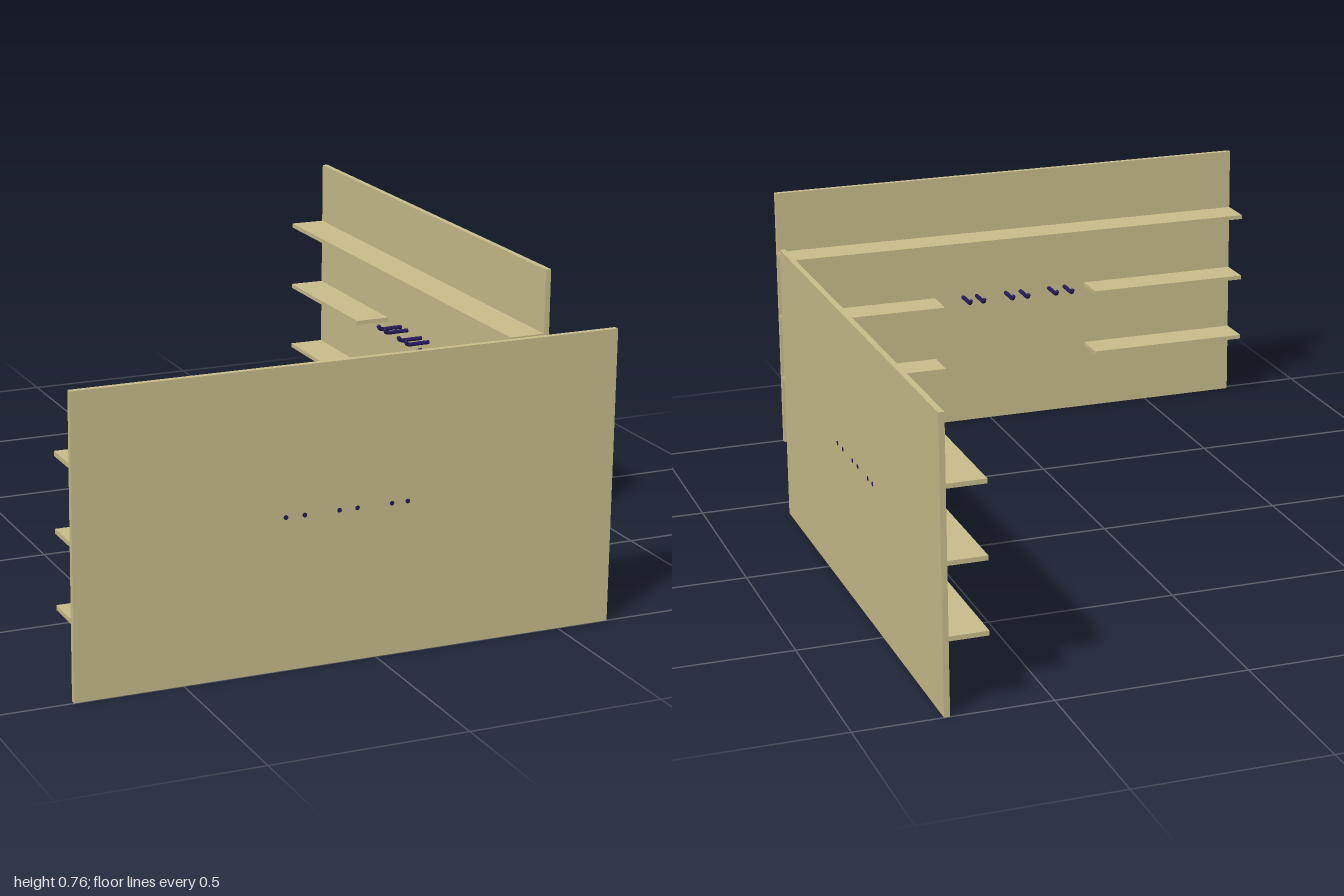
import * as THREE from 'three';

const W = 1.415, H = 0.757, T = 0.015;      // wall panel width, height, thickness
const DEPTH = 0.115, SHELF = 0.012;         // shelf depth (through the panel) and thickness
const GAP = 0.235;                          // half width of the opening between split shelves
const LEVELS = [0.198, 0.387, 0.577];
const HOOKS = [-0.172, -0.123, -0.033, 0.014, 0.105, 0.147];

const wood = new THREE.MeshStandardMaterial({ color: 0xc9be8b });
const peg = new THREE.MeshStandardMaterial({ color: 0x251a5c });

function add(parent, name, geometry, material) {
  const mesh = new THREE.Mesh(geometry, material);
  mesh.name = name;
  parent.add(mesh);
  return mesh;
}

function board(parent, name, x0, x1, y0, y1, z0, z1) {
  add(parent, name, new THREE.BoxGeometry(x1 - x0, y1 - y0, z1 - z0), wood)
    .position.set((x0 + x1) / 2, (y0 + y1) / 2, (z0 + z1) / 2);
}

// One wall unit: outer face at z = 0, shelves reaching towards -z
function wallUnit(name) {
  const unit = new THREE.Group();
  unit.name = name;
  const w = W / 2, s = SHELF / 2, [low, mid, high] = LEVELS;

  // Lower panel, notched from both sides to take the split shelves
  const right = [[w, 0]];
  for (const y of [low, mid]) right.push([w, y - s], [GAP, y - s], [GAP, y + s], [w, y + s]);
  right.push([w, high - s]);
  const left = right.map(([x, y]) => [-x, y]).reverse();
  const outline = new THREE.Shape([...right, ...left].map(([x, y]) => new THREE.Vector2(x, y)));
  const panel = new THREE.ExtrudeGeometry(outline, { depth: T, bevelEnabled: false });
  panel.translate(0, 0, -T);
  add(unit, 'lowerPanel', panel, wood);
  board(unit, 'upperPanel', -w, w, high + s, H, -T, 0);

  // One full shelf above two pairs of short ones
  board(unit, 'fullShelf', -w, w, high - s, high + s, -DEPTH, 0);
  for (const y of [low, mid]) {
    board(unit, 'leftShelf', GAP, w, y - s, y + s, -DEPTH, 0);
    board(unit, 'rightShelf', -w, -GAP, y - s, y + s, -DEPTH, 0);
  }

  // Row of pegs with upturned tips, passing through the panel
  const path = new THREE.CatmullRomCurve3([
    [0, 0, 0.001], [0, 0, -0.04], [0, 0, -0.078], [0, 0.003, -0.085], [0, 0.012, -0.088],
  ].map((p) => new THREE.Vector3(...p)));
  const tube = new THREE.TubeGeometry(path, 20, 0.006, 10);
  const cap = new THREE.CircleGeometry(0.006, 10);
  const tip = new THREE.SphereGeometry(0.006, 10, 8);
  for (const x of HOOKS) {
    const hook = new THREE.Group();
    hook.name = 'hook';
    hook.position.set(x, mid, 0);
    add(hook, 'hookRod', tube, peg);
    add(hook, 'hookEnd', cap, peg).position.z = 0.001;
    const ball = add(hook, 'hookTip', tip, peg);
    ball.position.set(0, 0.008, -0.087);
    unit.add(hook);
  }
  return unit;
}

export function createModel() {
  const model = new THREE.Group();
  model.name = 'shelfWalls';

  const front = wallUnit('frontWall');
  front.position.set(-0.0675, 0, 1);

  const side = wallUnit('sideWall');
  side.rotation.y = Math.PI / 2;
  side.position.set(0.775, 0, -0.2925);

  model.add(front, side);
  return model;
}
